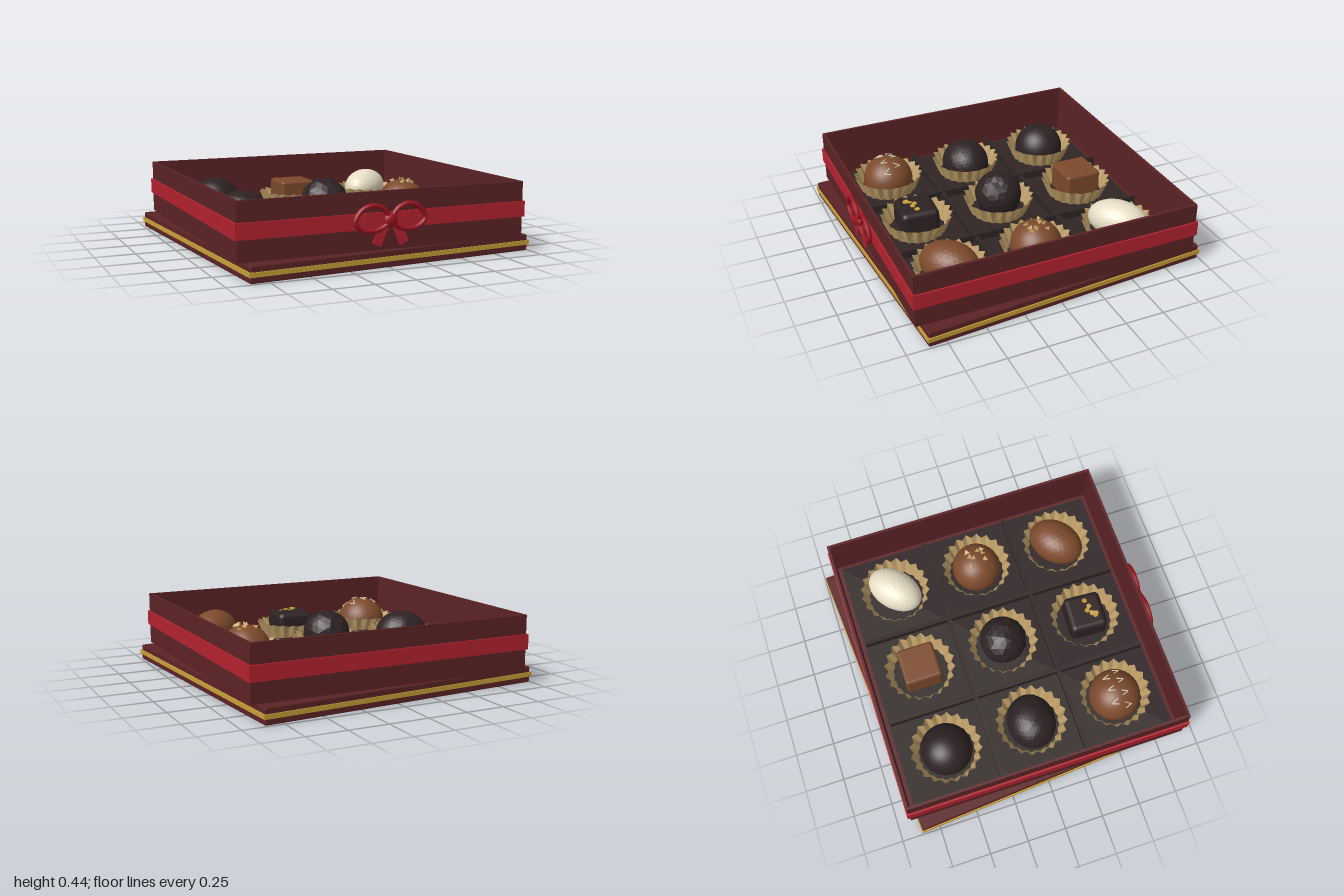
import * as THREE from 'three';
import { RoundedBoxGeometry } from 'three/addons/geometries/RoundedBoxGeometry.js';

const mat = (name, color, side = THREE.FrontSide) => {
  const m = new THREE.MeshStandardMaterial({ color, side });
  m.name = name;
  return m;
};

export function createModel() {
  const root = new THREE.Group();
  const M = {
    box: mat('burgundy card', 0x5c2326),
    ribbon: mat('red ribbon', 0xb4222f, THREE.DoubleSide),
    bow: mat('deep red bow', 0x9c1422),
    gold: mat('gold', 0xc9a038, THREE.DoubleSide),
    tray: mat('dark tray', 0x2f2524),
    paper: mat('tan paper', 0xbf9f68, THREE.DoubleSide),
    dark: mat('dark chocolate', 0x2e2223),
    milk: mat('milk chocolate', 0x7d4a2c),
    white: mat('white chocolate', 0xe8dfc6),
    nut: mat('chopped nut', 0xd0aa6c),
  };
  let seed = 7;
  const rand = () => (seed = (seed * 16807) % 2147483647) / 2147483647;

  const add = (parent, name, geo, material, x = 0, y = 0, z = 0) => {
    const m = new THREE.Mesh(geo, material);
    m.name = name;
    m.position.set(x, y, z);
    parent.add(m);
    return m;
  };
  const block = (parent, name, w, h, d, material, x, y, z) =>
    add(parent, name, new THREE.BoxGeometry(w, h, d), material, x, y, z);
  const group = (parent, name, x = 0, y = 0, z = 0) => {
    const g = new THREE.Group();
    g.name = name;
    g.position.set(x, y, z);
    parent.add(g);
    return g;
  };

  // Square frame with mitre-free corners, extruded upward
  const frame = (name, outer, inner, y0, y1, material) => {
    const square = (Type, r) => new Type([[-r, -r], [r, -r], [r, r], [-r, r]].map(p => new THREE.Vector2(...p)));
    const shape = square(THREE.Shape, outer);
    shape.holes.push(square(THREE.Path, inner));
    const geo = new THREE.ExtrudeGeometry(shape, { depth: y1 - y0, bevelEnabled: false });
    geo.rotateX(-Math.PI / 2);
    return add(root, name, geo, material, 0, y0, 0);
  };

  // Lid lying underneath, turned slightly
  const lid = group(root, 'lid');
  lid.rotation.y = THREE.MathUtils.degToRad(4);
  add(lid, 'lidSlab', new RoundedBoxGeometry(1.855, 0.1, 1.855, 1, 0.008), M.box, 0, 0.052, 0);
  block(lid, 'lidGoldTrim', 1.87, 0.028, 1.87, M.gold, 0, 0.053, 0);

  // Box walls, floor and ribbon band
  frame('boxWalls', 0.91, 0.893, 0.104, 0.445, M.box);
  block(root, 'boxFloor', 1.79, 0.016, 1.79, M.box, 0, 0.113, 0);
  frame('ribbonBand', 0.921, 0.909, 0.23, 0.325, M.ribbon);

  // Tray with nine cells
  const floorY = 0.13;
  block(root, 'trayFloor', 1.735, 0.02, 1.735, M.tray, 0, floorY - 0.01, 0);
  for (const s of [-0.285, 0.285]) {
    block(root, 'longDivider', 0.026, 0.05, 1.72, M.tray, s, floorY + 0.025, 0);
    for (const [x, w] of [[-0.58, 0.56], [0, 0.54], [0.58, 0.56]])
      block(root, 'crossDivider', w, 0.046, 0.026, M.tray, x, floorY + 0.023, s);
  }

  // Pleated paper cup: ridges and valleys alternate around a flared wall
  const cupGeometry = () => {
    const n = 40, pos = [], idx = [];
    for (let i = 0; i < n; i++) {
      const a = (i / n) * Math.PI * 2, ridge = i % 2 === 0;
      const rows = [[ridge ? 0.184 : 0.174, 0], [ridge ? 0.23 : 0.207, ridge ? 0.112 : 0.1]];
      for (const [r, y] of rows) pos.push(Math.cos(a) * r, y, Math.sin(a) * r);
      const p = 2 * i, q = 2 * ((i + 1) % n);
      idx.push(p, p + 1, q, q, p + 1, q + 1);
    }
    const g = new THREE.BufferGeometry();
    g.setAttribute('position', new THREE.Float32BufferAttribute(pos, 3));
    g.setIndex(idx);
    const flat = g.toNonIndexed();
    flat.computeVertexNormals();
    return flat;
  };
  const cup = cupGeometry();

  // Rounded sweets: ball is smooth, facet is flat-faced with optional bumps
  const ball = (rx, ry, rz) => new THREE.SphereGeometry(1, 32, 20).scale(rx, ry, rz);
  const facet = (rx, ry, rz, detail, bump = 0) => {
    const g = new THREE.IcosahedronGeometry(1, detail);
    const p = g.attributes.position, v = new THREE.Vector3();
    for (let i = 0; i < p.count; i++) {
      v.fromBufferAttribute(p, i);
      const k = 1 + bump * Math.sin(9 * v.x + 4 * v.y) * Math.sin(8 * v.z - 5 * v.y + 1);
      p.setXYZ(i, v.x * k * rx, v.y * k * ry, v.z * k * rz);
    }
    g.computeVertexNormals();
    return g;
  };

  const c = 0.567;
  const cell = (name, col, row) => {
    const g = group(root, name, col * c, floorY, row * c);
    add(g, 'paperCup', cup, M.paper);
    return g;
  };

  add(cell('darkTruffle', -1, -1), 'truffle', ball(0.165, 0.162, 0.165), M.dark, 0, 0.065, 0);

  const caramel = cell('caramelSquare', 0, -1);
  add(caramel, 'square', new RoundedBoxGeometry(0.24, 0.185, 0.24, 2, 0.02), M.milk, 0, 0.094, 0);

  const whiteEgg = add(cell('whiteEgg', 1, -1), 'egg', facet(0.192, 0.12, 0.128, 5), M.white, 0, 0.105, 0);
  whiteEgg.rotation.y = 0.7;

  add(cell('darkOval', -1, 0), 'oval', facet(0.176, 0.15, 0.155, 6, 0.01), M.dark, 0, 0.07, 0);
  add(cell('roughTruffle', 0, 0), 'truffle', facet(0.152, 0.15, 0.15, 3, 0.035), M.dark, 0, 0.12, 0);

  // Milk truffle with chopped nuts
  const nutty = cell('nutTruffle', 1, 0);
  add(nutty, 'truffle', ball(0.16, 0.155, 0.16), M.milk, 0, 0.07, 0);
  for (const [x, z] of [[-0.05, -0.04], [0.02, -0.04], [0.06, -0.045], [0.0, -0.015], [-0.02, 0.055], [0.025, 0.05], [0.045, 0.025], [0.05, 0.055]]) {
    const n = add(nutty, 'nutPiece', new THREE.TetrahedronGeometry(0.024), M.nut, x, 0.07 + Math.sqrt(0.156 ** 2 - x * x - z * z), z);
    n.rotation.set(rand() * 6, rand() * 6, rand() * 6);
  }

  // Milk truffle with pale drizzle flecks
  const drizzled = cell('drizzledTruffle', -1, 1);
  add(drizzled, 'truffle', ball(0.165, 0.16, 0.165), M.milk, 0, 0.065, 0);
  const onTop = (x, z) => new THREE.Vector3(x, 0.067 + Math.sqrt(0.164 ** 2 - x * x - z * z), z);
  const flecks = [[-0.085, -0.06, 1], [0, -0.06, 1], [0.085, -0.06, 1], [-0.115, 0.06, -1], [-0.042, 0.06, -1], [0.042, 0.06, -1], [0.115, 0.06, -1]];
  for (const [x, z, d] of flecks) {
    const tip = onTop(x, z);
    for (const s of [-1, 1])
      add(drizzled, 'drizzle', new THREE.TubeGeometry(new THREE.LineCurve3(tip, onTop(x + s * 0.016, z + d * 0.042)), 1, 0.004, 4), M.white);
  }

  // Dark square with gold flakes
  const gilded = cell('goldFlakeSquare', 0, 1);
  add(gilded, 'square', new RoundedBoxGeometry(0.245, 0.175, 0.245, 3, 0.035), M.dark, 0, 0.09, 0).rotation.y = -0.06;
  for (const [x, z] of [[-0.05, 0.05], [-0.03, 0.035], [-0.005, 0.01], [0.02, 0.03], [0.065, 0.015], [-0.04, 0.06]]) {
    const f = add(gilded, 'goldFlake', new THREE.CylinderGeometry(0.019, 0.016, 0.006, 5), M.gold, x, 0.181, z);
    f.rotation.set((rand() - 0.5) * 0.4, rand() * 6, (rand() - 0.5) * 0.4);
  }

  const milkEgg = add(cell('milkEgg', 1, 1), 'egg', facet(0.19, 0.135, 0.14, 5), M.milk, 0, 0.09, 0);
  milkEgg.rotation.y = 0.7;

  // Ribbon bow on the front
  const bow = group(root, 'bow', 0, 0.28, 0.942);
  for (const s of [-1, 1]) {
    const path = [[0.01, 0.0], [0.04, 0.062], [0.11, 0.09], [0.185, 0.065], [0.222, 0.0], [0.18, -0.045], [0.11, -0.058], [0.045, -0.038]];
    const curve = new THREE.CatmullRomCurve3(path.map(([x, y]) => new THREE.Vector3(s * x, y, 0)), true);
    add(bow, 'bowLoop', new THREE.TubeGeometry(curve, 48, 0.015, 8, true), M.bow);
    const tail = block(bow, 'bowTail', 0.06, 0.14, 0.005, M.ribbon, s * 0.06, -0.075, -0.002);
    tail.rotation.z = s * 0.42;
    const fold = block(bow, 'bowFold', 0.075, 0.06, 0.006, M.ribbon, s * 0.125, 0.005, -0.018);
    fold.rotation.z = s * 0.5;
  }
  add(bow, 'bowKnot', new THREE.SphereGeometry(0.043, 16, 12).scale(1, 1, 0.55), M.bow);

  return root;
}
